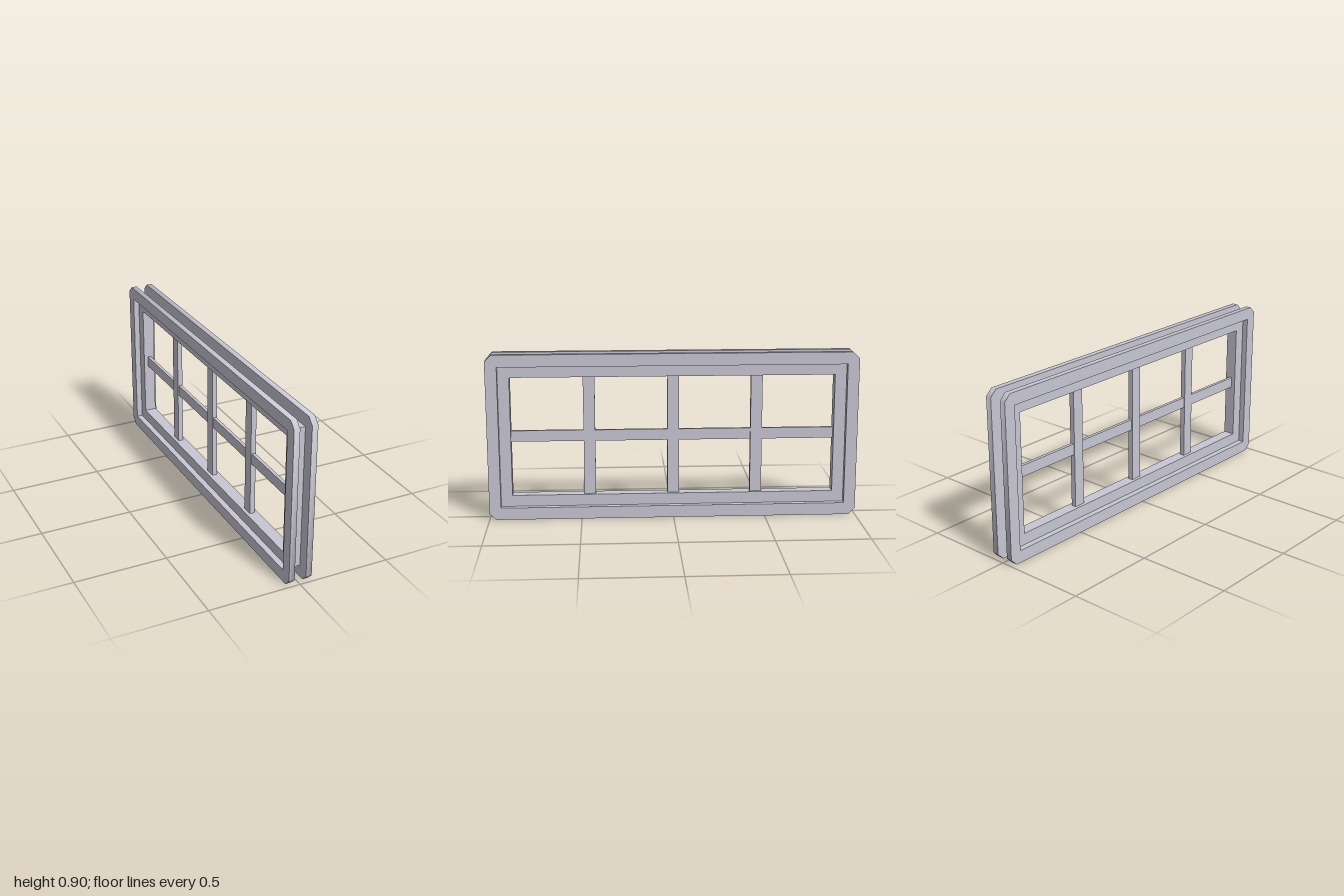
import * as THREE from 'three';
import { toCreasedNormals } from 'three/addons/utils/BufferGeometryUtils.js';

const HEIGHT = 0.905;
const MID = HEIGHT / 2;

// Corner points of a z-y rectangle with optional corner cuts
function rectPoints(halfW, halfH, cut = 0) {
  const corners = [[1, -1], [1, 1], [-1, 1], [-1, -1]];
  const points = [];
  corners.forEach(([sx, sy], i) => {
    const x = sx * halfW, y = sy * halfH;
    if (!cut) return points.push(new THREE.Vector2(x, y));
    const a = new THREE.Vector2(x - sx * cut, y);
    const b = new THREE.Vector2(x, y - sy * cut);
    points.push(...(i % 2 ? [b, a] : [a, b]));
  });
  return points;
}

// Rectangular ring lying in the z-y plane, with its thickness along x
function ringGeometry(outer, inner, depth, cut) {
  const shape = new THREE.Shape(rectPoints(outer[0], outer[1], cut));
  shape.holes.push(new THREE.Path(rectPoints(inner[0], inner[1])));
  const geo = new THREE.ExtrudeGeometry(shape, { depth, bevelEnabled: false });
  geo.translate(0, 0, -depth / 2);
  geo.rotateY(Math.PI / 2);
  // blend the cut corners, keep right angles sharp
  return toCreasedNormals(geo, THREE.MathUtils.degToRad(50));
}

export function createModel() {
  const group = new THREE.Group();
  const paint = new THREE.MeshStandardMaterial({ color: 0xc8c7d3 });
  paint.name = 'pale grey paint';

  const add = (name, geo, x, y, z) => {
    const mesh = new THREE.Mesh(geo, paint);
    mesh.name = name;
    mesh.position.set(x, y, z);
    group.add(mesh);
  };

  const bodySize = [0.937, 0.3865];

  // Trim on both faces of the wall
  const trim = ringGeometry([1, MID], bodySize, 0.032, 0.035);
  add('leftTrim', trim, 0.048, MID, 0);
  add('rightTrim', trim, -0.048, MID, 0);

  // Window frame between the trims
  add('windowFrame', ringGeometry(bodySize, [0.875, 0.325], 0.064, 0), 0, MID, 0);

  // Upright bars
  const upright = new THREE.BoxGeometry(0.028, 0.65, 0.063);
  for (const z of [-0.453, 0, 0.453]) add('uprightBar', upright, 0, MID, z);

  // Thinner cross bar
  add('crossBar', new THREE.BoxGeometry(0.018, 0.06, 1.75), 0, MID, 0);

  return group;
}
